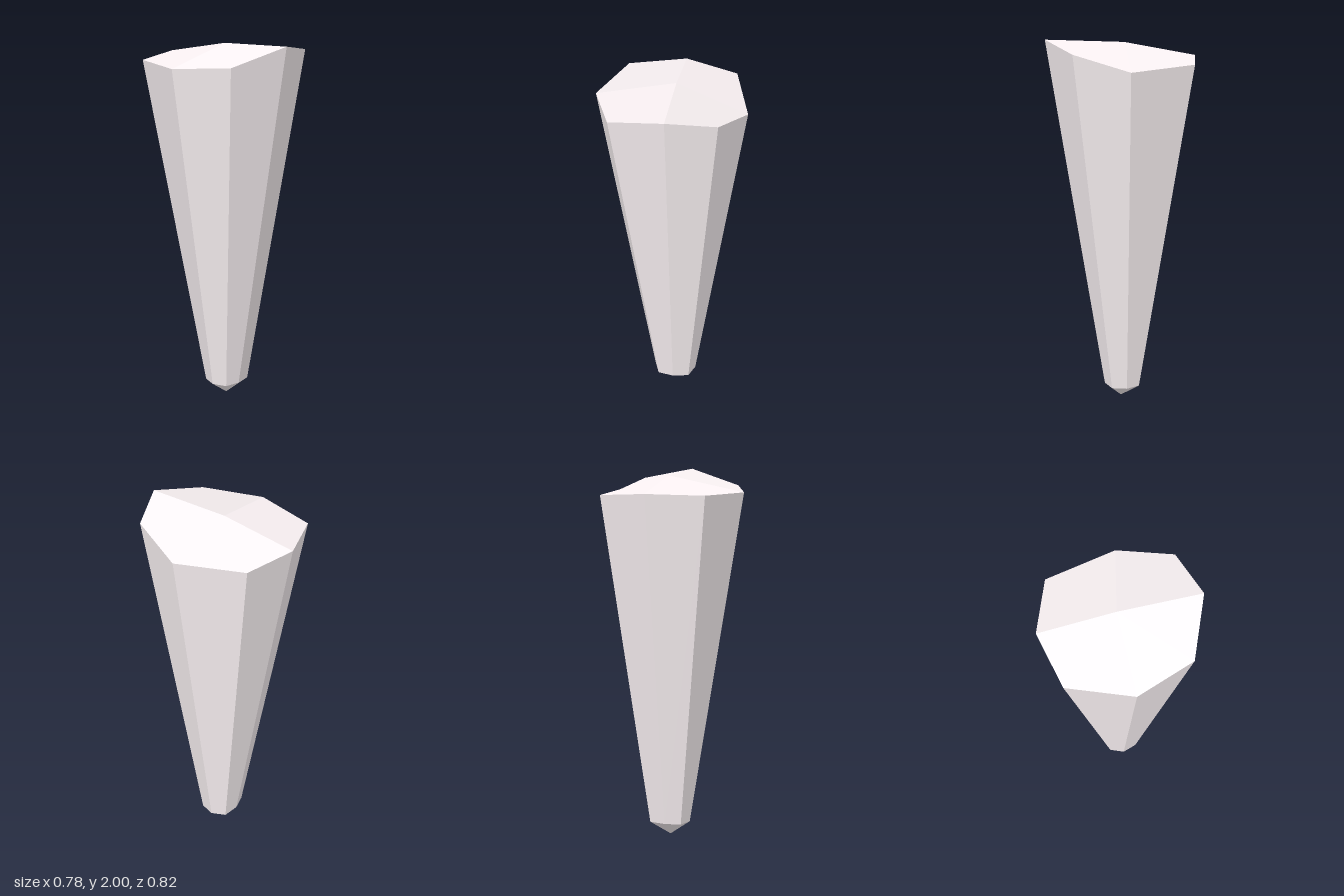
import * as THREE from 'three';

// Octagonal cross-sections, counterclockwise from the front corner: [x, y, z]
const TOP = [
  [0.02, 2.0, 0.41], [0.27, 1.95, 0.325], [0.39, 1.865, 0.053], [0.297, 1.88, -0.315],
  [0.02, 1.893, -0.41], [-0.275, 1.885, -0.332], [-0.39, 1.89, 0], [-0.277, 1.915, 0.302],
].map((p) => new THREE.Vector3(...p));
const BOTTOM = [
  [0.017, 0.08, 0.093], [0.106, 0.08, 0.077], [0.137, 0.08, 0], [0.108, 0.08, -0.077],
  [0.018, 0.08, -0.095], [-0.068, 0.08, -0.077], [-0.096, 0.08, 0], [-0.068, 0.08, 0.077],
].map((p) => new THREE.Vector3(...p));
const PEAK = new THREE.Vector3(0.02, 1.975, -0.015);
const TIP = new THREE.Vector3(0.015, 0, 0);

// Builds four-cornered facets, each shaded with one normal so slight bends stay hidden
function facets(name, material, quads) {
  const positions = [];
  const normals = [];
  for (const [a, b, c, d] of quads) {
    const across = new THREE.Vector3().subVectors(c, a);
    const normal = across.cross(new THREE.Vector3().subVectors(d, b)).normalize();
    for (const corner of [a, b, c, a, c, d]) {
      positions.push(...corner);
      normals.push(...normal);
    }
  }
  const geometry = new THREE.BufferGeometry();
  geometry.setAttribute('position', new THREE.Float32BufferAttribute(positions, 3));
  geometry.setAttribute('normal', new THREE.Float32BufferAttribute(normals, 3));
  const mesh = new THREE.Mesh(geometry, material);
  mesh.name = name;
  return mesh;
}

export function createModel() {
  const group = new THREE.Group();
  group.name = 'spike';
  const material = new THREE.MeshStandardMaterial({ color: 0xfaf2f4 });

  const sides = [];
  const capFaces = [];
  const tipFaces = [];
  for (let i = 0; i < 8; i++) {
    const j = (i + 1) % 8;
    sides.push([BOTTOM[i], BOTTOM[j], TOP[j], TOP[i]]);
  }
  // Each cap and tip facet spans two sides
  for (let i = 0; i < 8; i += 2) {
    const k = (i + 2) % 8;
    capFaces.push([PEAK, TOP[i], TOP[i + 1], TOP[k]]);
    tipFaces.push([TIP, BOTTOM[k], BOTTOM[i + 1], BOTTOM[i]]);
  }

  group.add(
    facets('shaft', material, sides),
    facets('cap', material, capFaces),
    facets('tip', material, tipFaces),
  );
  return group;
}
